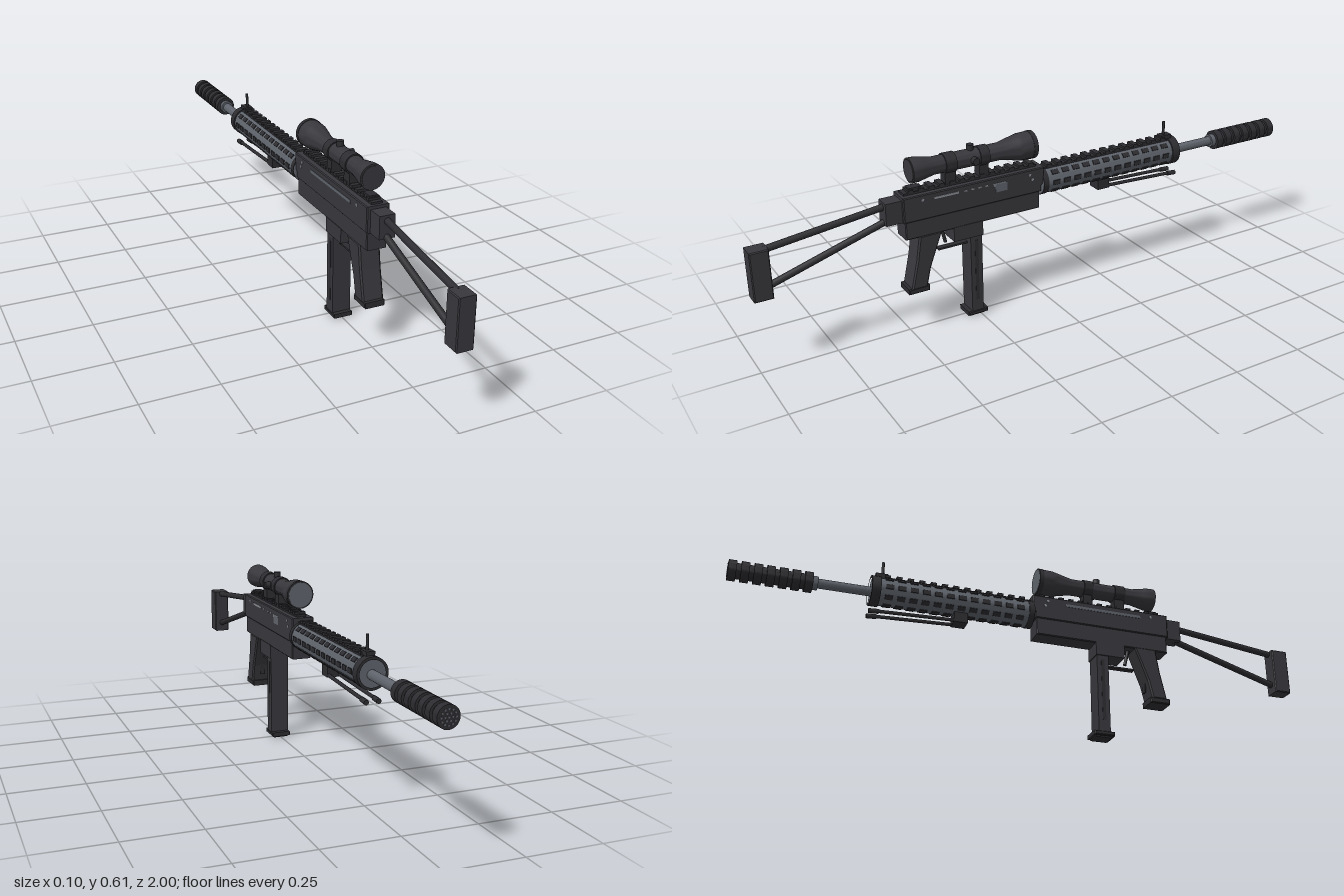
import * as THREE from 'three';
import { toCreasedNormals } from 'three/addons/utils/BufferGeometryUtils.js';

const material = (name, color) => new THREE.MeshStandardMaterial({ name, color });

export function createModel() {
  const model = new THREE.Group();
  model.name = 'rifle';
  const body = material('charcoal body', 0x38373c);
  const black = material('black fittings', 0x2d2d31);
  const slate = material('slate metal', 0x5f646c);
  const pale = material('pale metal', 0x8b9096);

  const add = (name, geometry, mat) => {
    const mesh = new THREE.Mesh(geometry, mat);
    mesh.name = name;
    model.add(mesh);
    return mesh;
  };
  // Box given by its limits on each axis
  const box = (name, mat, x0, x1, y0, y1, z0, z1) => {
    const mesh = add(name, new THREE.BoxGeometry(x1 - x0, y1 - y0, z1 - z0), mat);
    mesh.position.set((x0 + x1) / 2, (y0 + y1) / 2, (z0 + z1) / 2);
    return mesh;
  };
  // Turned part along z; profile is [z, radius] with z rising
  const turned = (name, mat, y, profile) => {
    const points = profile.map(([z, r]) => new THREE.Vector2(r, z));
    const g = new THREE.LatheGeometry(points, 28).rotateX(Math.PI / 2);
    add(name, toCreasedNormals(g, 0.6), mat).position.y = y;
  };
  const rod = (name, mat, a, b, r, sides = 12) => {
    const from = new THREE.Vector3(...a), to = new THREE.Vector3(...b);
    const dir = to.clone().sub(from);
    const mesh = add(name, new THREE.CylinderGeometry(r, r, dir.length(), sides), mat);
    mesh.position.copy(from).add(to).multiplyScalar(0.5);
    mesh.quaternion.setFromUnitVectors(new THREE.Vector3(0, 1, 0), dir.normalize());
  };
  // Side outline of [z, y] points, extruded across x with a small bevel
  const slab = (name, mat, points, width, bevel = 0.003) => {
    const shape = new THREE.Shape(points.map(([z, y]) => new THREE.Vector2(z, y)));
    const depth = width - 2 * bevel;
    const g = new THREE.ExtrudeGeometry(shape, {
      depth, bevelEnabled: true, bevelSize: bevel, bevelOffset: -bevel, bevelThickness: bevel, bevelSegments: 1,
    });
    add(name, g.translate(0, 0, -depth / 2).rotateY(-Math.PI / 2), mat);
  };

  // Skeleton stock
  slab('buttPlate', body, [[0.94, 0.256], [1, 0.256], [1, 0.42], [0.94, 0.42]], 0.056);
  rod('upperStockTube', black, [0, 0.41, 0.95], [0, 0.46, 0.54], 0.011);
  rod('lowerStockTube', black, [0, 0.287, 0.95], [0, 0.413, 0.54], 0.011);
  box('stockHinge', body, -0.026, 0.026, 0.4, 0.475, 0.51, 0.57);

  // Receiver
  slab('receiverUpper', body, [[0.02, 0.4], [0.515, 0.4], [0.515, 0.485], [0.01, 0.485], [0.01, 0.43], [0.02, 0.42]], 0.076);
  slab('receiverLower', body, [[0.025, 0.34], [0.51, 0.34], [0.51, 0.41], [0.025, 0.41]], 0.068);
  box('receiverRail', black, -0.018, 0.018, 0.483, 0.492, 0.03, 0.505);
  for (let i = 0; i < 13; i++) {
    const z = 0.04 + i * 0.036;
    box('receiverRailTooth', black, -0.02, 0.02, 0.49, 0.5, z, z + 0.018);
  }
  box('rearSightBase', black, -0.015, 0.015, 0.485, 0.505, 0.445, 0.485);

  // Receiver side details
  box('ejectionPort', slate, 0.037, 0.0395, 0.435, 0.463, 0.15, 0.193);
  box('portCover', pale, 0.037, 0.0395, 0.455, 0.466, 0.155, 0.2);
  box('rightSlot', pale, 0.037, 0.0395, 0.462, 0.469, 0.325, 0.41);
  for (let i = 0; i < 4; i++) box('rightMark', pale, 0.037, 0.0395, 0.463, 0.468, 0.22 + i * 0.025, 0.23 + i * 0.025);
  box('leftSlot', slate, -0.0395, -0.037, 0.457, 0.467, 0.13, 0.41);
  for (const s of [-1, 1]) for (const [z, y] of [[0.45, 0.468], [0.065, 0.468], [0.055, 0.45]])
    rod('receiverPin', pale, [s * 0.036, y, z], [s * 0.0395, y, z], 0.005, 10);

  // Magazine and its well
  box('magazineWell', body, -0.036, 0.036, 0.295, 0.345, 0.24, 0.345);
  box('magazine', body, -0.032, 0.032, 0.015, 0.3, 0.243, 0.285);
  box('magazineRib', black, -0.033, 0.033, 0.06, 0.28, 0.258, 0.27);
  slab('magazineFoot', black, [[0.227, 0.005], [0.3, 0.005], [0.3, 0.02], [0.227, 0.02]], 0.068);
  box('magazineBase', black, -0.025, 0.025, 0, 0.008, 0.235, 0.292);

  // Pistol grip, trigger and guard
  slab('pistolGrip', body, [[0.5, 0.16], [0.445, 0.16], [0.43, 0.225], [0.385, 0.345], [0.465, 0.345], [0.478, 0.26]], 0.072, 0.005);
  slab('gripFoot', black, [[0.437, 0.145], [0.51, 0.145], [0.51, 0.165], [0.437, 0.165]], 0.07);
  box('triggerGuardFloor', black, -0.01, 0.01, 0.265, 0.271, 0.28, 0.39);
  box('triggerGuardRear', black, -0.01, 0.01, 0.19, 0.271, 0.429, 0.432);
  rod('trigger', black, [0, 0.345, 0.375], [0, 0.285, 0.36], 0.006, 8);

  // Round handguard with slots and top rail
  const axis = 0.424;
  turned('handguard', slate, axis, [[-0.54, 0], [-0.54, 0.046], [0.015, 0.046], [0.015, 0]]);
  turned('handguardRing', black, axis, [[-0.545, 0.042], [-0.545, 0.051], [-0.515, 0.051], [-0.515, 0.044]]);
  turned('handguardRearRing', black, axis, [[-0.005, 0.044], [-0.005, 0.048], [0.015, 0.048], [0.015, 0.044]]);
  for (let row = 1; row < 8; row++) {
    const a = row * Math.PI / 4;
    for (let i = 0; i < 12; i++) {
      const slot = add('handguardSlot', new THREE.BoxGeometry(0.016, 0.006, 0.026), black);
      slot.position.set(Math.sin(a) * 0.0455, axis + Math.cos(a) * 0.0455, -0.035 - i * 0.041);
      slot.rotation.z = -a;
    }
  }
  box('handguardRail', black, -0.017, 0.017, 0.462, 0.473, -0.515, 0.01);
  for (let i = 0; i < 13; i++) box('handguardRailTooth', black, -0.019, 0.019, 0.472, 0.481, -0.5 + i * 0.039, -0.48 + i * 0.039);

  // Front sight
  box('frontSightBase', black, -0.014, 0.014, 0.468, 0.487, -0.53, -0.488);
  rod('frontSightPost', black, [0, 0.48, -0.505], [0, 0.535, -0.505], 0.005, 8);

  // Folded bipod
  box('bipodMount', black, -0.024, 0.024, 0.346, 0.382, -0.262, -0.215);
  for (const s of [-1, 1]) {
    rod('bipodLeg', black, [s * 0.018, 0.354, -0.22], [s * 0.02, 0.342, -0.53], 0.006, 8);
    rod('bipodFoot', black, [s * 0.02, 0.342, -0.515], [s * 0.02, 0.34, -0.548], 0.0085, 8);
  }

  // Barrel and ribbed muzzle
  turned('barrel', slate, 0.42, [[-0.74, 0], [-0.74, 0.016], [-0.53, 0.016], [-0.53, 0]]);
  turned('muzzleCollar', slate, 0.42, [[-0.735, 0], [-0.735, 0.023], [-0.715, 0.023], [-0.715, 0]]);
  const ribs = [[-0.998, 0]];
  for (let i = 0; i < 7; i++) {
    const z = -0.998 + i * 0.04;
    ribs.push([z, 0.034], [z + 0.026, 0.034], [z + 0.026, 0.026]);
    if (i < 6) ribs.push([z + 0.04, 0.026]);
  }
  ribs.push([ribs[ribs.length - 1][0], 0]);
  turned('muzzleSleeve', black, 0.42, ribs);
  for (const [count, r] of [[1, 0], [6, 0.011], [12, 0.022]]) for (let i = 0; i < count; i++) {
    const a = i / count * Math.PI * 2, x = Math.cos(a) * r, y = 0.42 + Math.sin(a) * r;
    rod('muzzleVent', slate, [x, y, -0.996], [x, y, -1], 0.003, 8);
  }

  // Scope, with rings, turrets and lenses
  const sy = 0.558;
  turned('scopeBody', body, sy, [[0.037, 0], [0.037, 0.046], [0.085, 0.045], [0.1, 0.042], [0.16, 0.029],
    [0.395, 0.029], [0.43, 0.036], [0.45, 0.04], [0.475, 0.041], [0.475, 0]]);
  turned('frontLensRim', black, sy, [[0.035, 0.041], [0.035, 0.047], [0.05, 0.047], [0.05, 0.042]]);
  turned('frontLens', slate, sy, [[0.034, 0], [0.034, 0.042], [0.038, 0.042]]);
  turned('eyepieceLens', body, sy, [[0.474, 0.036], [0.477, 0.036], [0.477, 0]]);
  for (const [z0, z1] of [[0.205, 0.238], [0.322, 0.36]]) {
    turned('scopeRing', black, sy, [[z0, 0.028], [z0, 0.033], [z1, 0.033], [z1, 0.028]]);
    box('scopeMount', black, -0.017, 0.017, 0.488, 0.535, z0, z1);
  }
  rod('topTurret', black, [0, 0.58, 0.262], [0, 0.603, 0.262], 0.012, 16);
  rod('sideTurret', black, [0.02, sy, 0.262], [0.046, sy, 0.262], 0.012, 16);

  return model;
}
